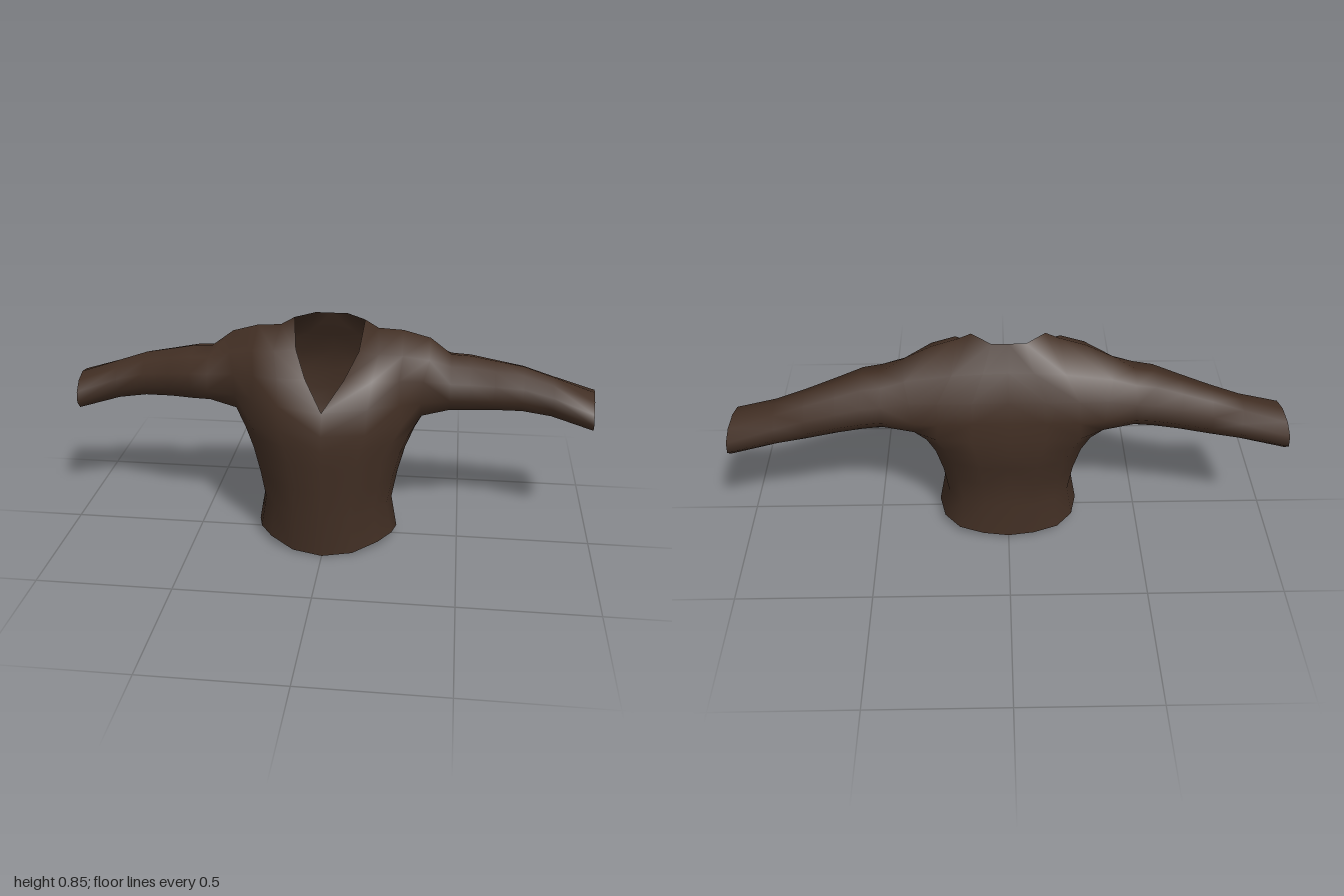
import * as THREE from 'three';
import { mergeVertices } from 'three/addons/utils/BufferGeometryUtils.js';

export function createModel() {
  const group = new THREE.Group();
  group.name = 'shirt';
  const cloth = new THREE.MeshStandardMaterial({ color: 0x422f24, side: THREE.DoubleSide });
  cloth.name = 'dark brown cloth';

  const positions = [];
  // One triangle on the left half and its mirror image on the right half
  const tri = (a, b, c) => {
    if (a === b || b === c || c === a) return;
    positions.push(...a, ...b, ...c);
    for (const p of [a, c, b]) positions.push(-p[0], p[1], p[2]);
  };
  // Skin between successive rows of points
  const skin = (rows) => {
    for (let r = 0; r + 1 < rows.length; r++) {
      const lo = rows[r], hi = rows[r + 1];
      for (let c = 0; c + 1 < lo.length; c++) {
        tri(lo[c], lo[c + 1], hi[c + 1]);
        tri(lo[c], hi[c + 1], hi[c]);
      }
    }
  };

  // Waist and chest: half rings from centre front, round the side, to centre back
  const sx = [0, 0.42, 0.76, 0.94, 1, 0.92, 0.7, 0.36, 0];
  const sz = [1, 0.9, 0.62, 0.3, 0, -0.5, -0.84, -0.98, -1];
  const hemDrop = [-0.035, -0.027, -0.006, 0, 0, 0, -0.003, -0.01, -0.02];
  const body = [ // height, half width, front z, side z, back z
    [0.035, 0.267, 0.21, 0.0, -0.2],
    [0.16, 0.245, 0.217, 0.0, -0.193],
    [0.27, 0.265, 0.225, 0.0, -0.2],
    [0.37, 0.292, 0.234, -0.01, -0.228],
    [0.44, 0.325, 0.239, -0.04, -0.237],
    [0.5, 0.37, 0.237, -0.1, -0.24],
  ].map(([y, w, zf, zs, zb], i) => sx.map((s, c) => [
    s * w,
    y + (i === 0 ? hemDrop[c] : 0),
    zs + sz[c] * (sz[c] > 0 ? zf - zs : zs - zb),
  ]));
  skin(body);
  const chest = body[body.length - 1];

  // Front panel with the V neckline on its inner edge, up to the shoulder seam
  const seam = [[0.13, 0.845, -0.058], [0.18, 0.818, -0.05], [0.27, 0.805, -0.075], [0.37, 0.77, -0.1]];
  const front = [
    chest.slice(0, 4),
    [[0, 0.58, 0.212], [0.16, 0.59, 0.19], [0.27, 0.58, 0.11], [0.345, 0.56, 0.03]],
    [[0.07, 0.672, 0.12], [0.17, 0.675, 0.135], [0.265, 0.665, 0.09], [0.35, 0.645, 0.03]],
    [[0.115, 0.75, 0.025], [0.19, 0.755, 0.065], [0.275, 0.745, 0.04], [0.37, 0.715, -0.01]],
    seam,
  ];
  skin(front);

  // Back panel, armhole to centre back
  const back = [
    chest.slice(5),
    [[0.34, 0.57, -0.215], [0.25, 0.58, -0.238], [0.13, 0.58, -0.235], [0, 0.58, -0.235]],
    [[0.35, 0.65, -0.205], [0.25, 0.66, -0.222], [0.13, 0.66, -0.222], [0, 0.66, -0.22]],
    [[0.365, 0.72, -0.17], [0.2, 0.745, -0.175], [0.09, 0.75, -0.172], [0, 0.75, -0.168]],
  ];
  skin(back);

  // Back yoke and collar, closing to the shoulder seam and back neckline
  const [b0, b1, b2, b3] = back[3];
  skin([
    [b0, b0, b1, b1, b2, b3],
    [seam[3], seam[2], seam[1], seam[0], [0.06, 0.845, -0.125], [0, 0.845, -0.125]],
  ]);

  // Sleeves: from the armhole edge out to the open cuff
  const armhole = [
    chest[4], ...back.map((row) => row[0]), seam[3],
    ...front.slice(0, 4).reverse().map((row) => row[3]), chest[4],
  ];
  const sleeve = [ // x, bottom, top, back z, front z
    [0.45, 0.502, 0.712, -0.213, 0.033],
    [0.52, 0.5, 0.706, -0.216, 0.02],
    [0.61, 0.495, 0.683, -0.222, -0.015],
    [0.72, 0.483, 0.656, -0.23, -0.055],
    [0.83, 0.466, 0.617, -0.232, -0.064],
    [0.99, 0.425, 0.565, -0.244, -0.035],
  ].map(([x, yb, yt, zb, zf], i) => {
    const ring = [];
    for (let k = 0; k < 10; k++) {
      const a = (k / 10) * Math.PI * 2;
      const tilt = i === 5 ? 0.01 * Math.sin(a + 0.3) : 0;
      ring.push([
        x + tilt,
        (yb + yt) / 2 - Math.cos(a) * (yt - yb) / 2,
        (zb + zf) / 2 - Math.sin(a) * (zf - zb) / 2 * 1.05,
      ]);
    }
    return [...ring, ring[0]];
  });
  skin([armhole, ...sleeve]);

  // Weld everything so the cloth shades smoothly across the seams
  let geometry = new THREE.BufferGeometry();
  geometry.setAttribute('position', new THREE.Float32BufferAttribute(positions, 3));
  geometry = mergeVertices(geometry, 1e-4);
  geometry.computeVertexNormals();
  const mesh = new THREE.Mesh(geometry, cloth);
  mesh.name = 'shirtBodyAndSleeves';
  group.add(mesh);
  return group;
}
